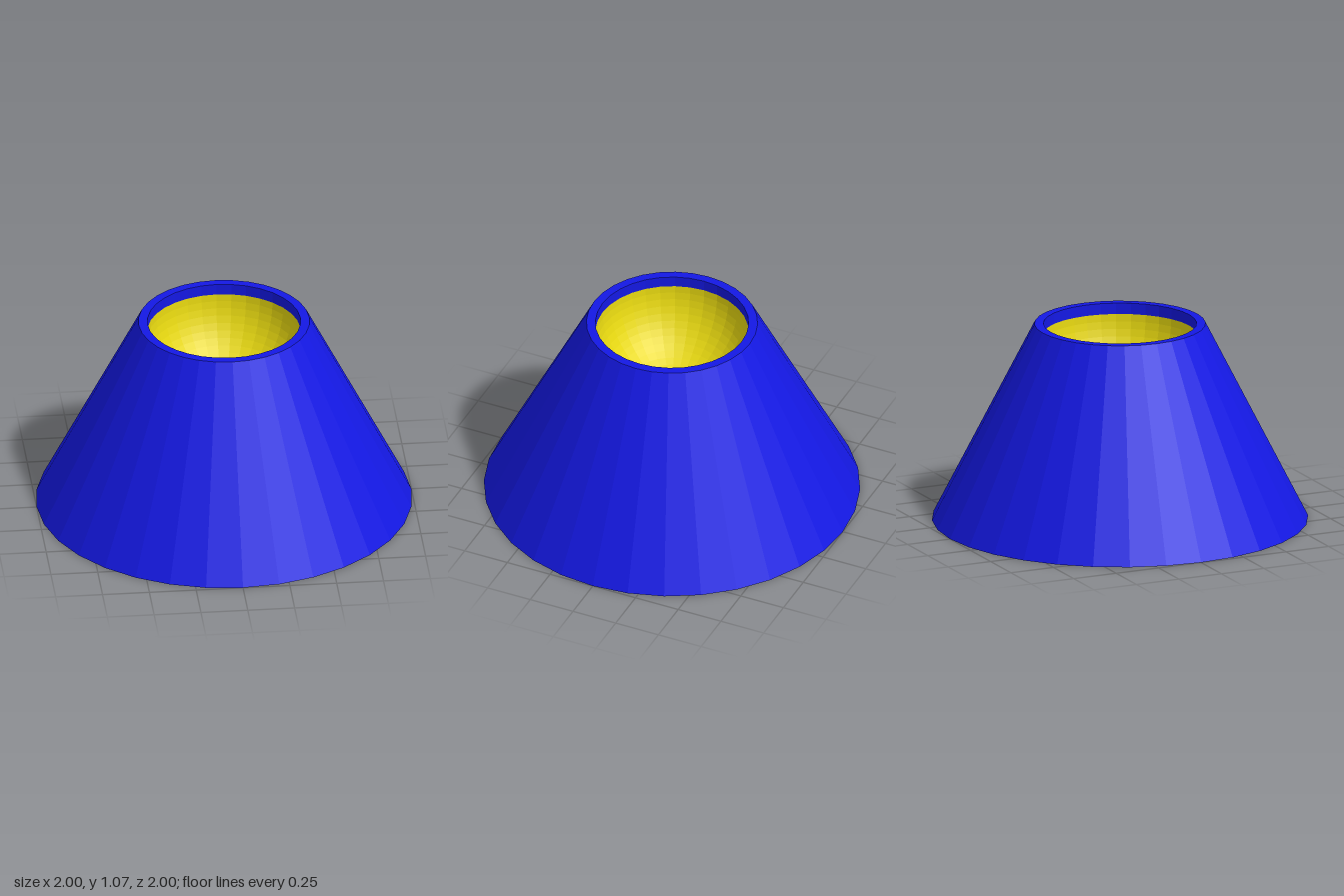
import * as THREE from 'three';

const SIDES = 32;
const HEIGHT = 1.07;
const BASE_R = 1;
const RIM_R = 0.455;
const BOWL_R = 0.407;
const BOWL_Y = 1.01; // height at which the bowl starts below the rim

function part(name, geometry, color) {
  const material = new THREE.MeshStandardMaterial({ color, flatShading: true });
  const mesh = new THREE.Mesh(geometry, material);
  mesh.name = name;
  return mesh;
}

const lathe = (points) =>
  new THREE.LatheGeometry(points.map(([r, y]) => new THREE.Vector2(r, y)), SIDES);

export function createModel() {
  const model = new THREE.Group();
  model.name = 'taperedBowl';

  // Sloping outer wall, flat rim and the short wall inside the rim
  const shell = lathe([[BASE_R, 0], [RIM_R, HEIGHT], [BOWL_R, HEIGHT], [BOWL_R, BOWL_Y]]);
  model.add(part('outerShell', shell, 0x1418e4));

  // Hemispherical hollow, profile running from the rim down to the centre
  const profile = [];
  const rings = 16;
  for (let i = 0; i <= rings; i++) {
    const a = (i / rings) * Math.PI / 2;
    profile.push([i === rings ? 0 : BOWL_R * Math.cos(a), BOWL_Y - BOWL_R * Math.sin(a)]);
  }
  model.add(part('bowl', lathe(profile), 0xe6d710));

  // Flat underside
  const base = part('base', new THREE.CircleGeometry(BASE_R, SIDES), 0x3c7020);
  base.rotation.x = Math.PI / 2;
  model.add(base);

  return model;
}
